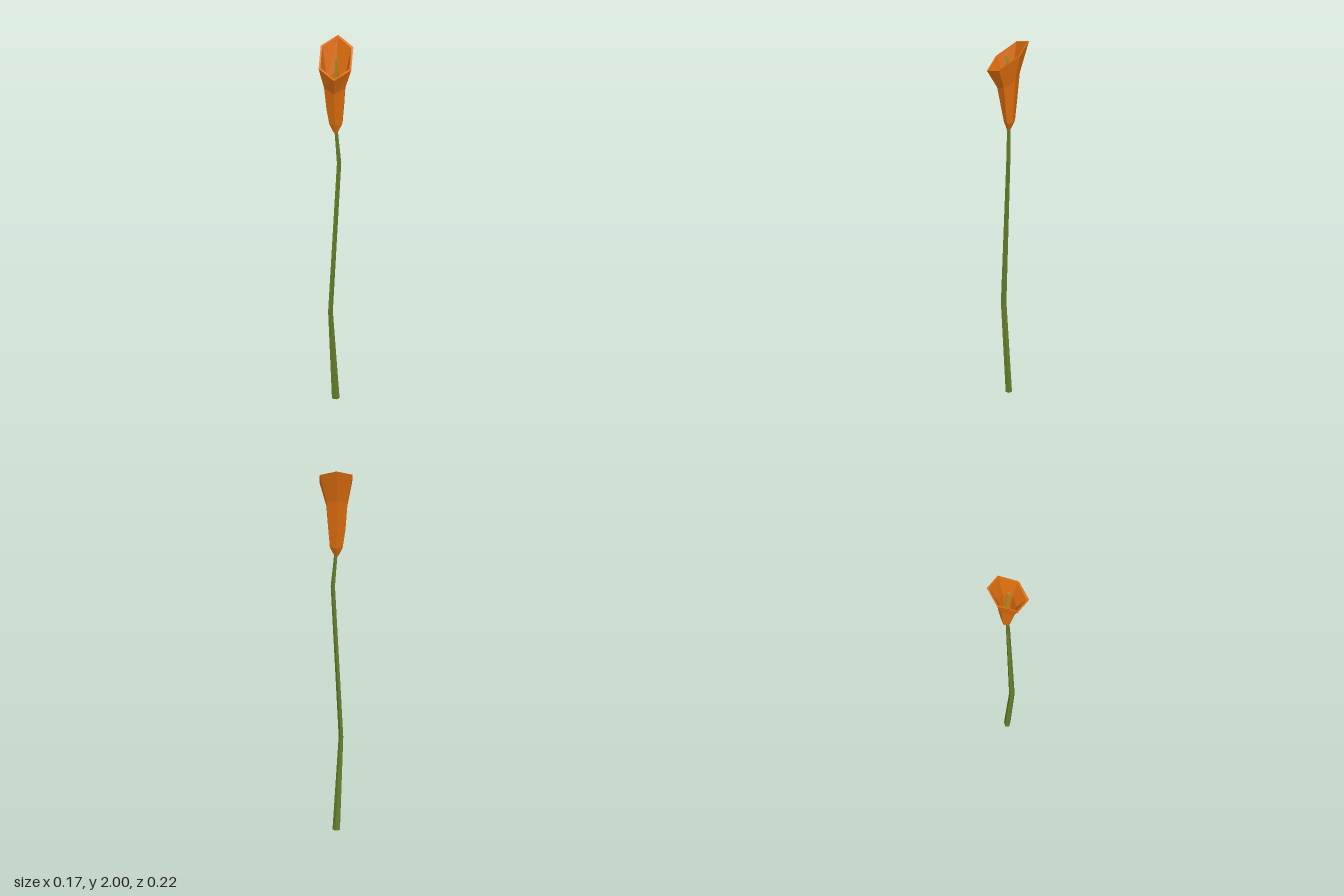
import * as THREE from 'three';

// Skin a stack of rings; each ring is [y, centreX, centreZ, radiusX, radiusZ, tilt].
// A positive tilt lifts the back of the ring and lowers its front.
function skin(rings, sides, phase = 0) {
  const pos = [];
  const idx = [];
  for (const [y, cx, cz, rx, rz, tilt = 0] of rings) {
    for (let i = 0; i < sides; i++) {
      const a = phase + (i / sides) * Math.PI * 2;
      pos.push(cx + rx * Math.sin(a), y - tilt * Math.cos(a), cz + rz * Math.cos(a));
    }
  }
  for (let r = 0; r < rings.length - 1; r++) {
    for (let i = 0; i < sides; i++) {
      const a = r * sides + i;
      const b = r * sides + (i + 1) % sides;
      idx.push(a, b, b + sides, a, b + sides, a + sides);
    }
  }
  // Close both ends
  const last = (rings.length - 1) * sides;
  for (let i = 1; i < sides - 1; i++) {
    idx.push(0, i + 1, i, last, last + i, last + i + 1);
  }
  const geo = new THREE.BufferGeometry();
  geo.setAttribute('position', new THREE.Float32BufferAttribute(pos, 3));
  geo.setIndex(idx);
  const flat = geo.toNonIndexed();
  flat.computeVertexNormals();
  return flat;
}

function part(name, geometry, color) {
  const material = new THREE.MeshStandardMaterial({ color, flatShading: true });
  const mesh = new THREE.Mesh(geometry, material);
  mesh.name = name;
  return mesh;
}

export function createModel() {
  const group = new THREE.Group();
  group.name = 'flower';

  // Gently bent, tapering stem
  group.add(part('stem', skin([
    [0, -0.005, -0.004, 0.021, 0.017],
    [0.5, -0.029, 0.02, 0.013, 0.015],
    [1.33, 0.013, 0, 0.012, 0.011],
    [1.52, -0.003, -0.004, 0.009, 0.009],
  ], 5, 0.3), 0x647d2a));

  // Six-sided trumpet: up the outside, over the rim, down the inside
  group.add(part('petalTrumpet', skin([
    [1.5, -0.004, -0.004, 0.012, 0.011],
    [1.55, -0.003, -0.007, 0.038, 0.029],
    [1.64, -0.006, -0.005, 0.05, 0.041, 0.01],
    [1.78, -0.007, -0.003, 0.062, 0.058, 0.04],
    [1.92, -0.002, 0, 0.097, 0.108, 0.08],
    [1.92, -0.003, -0.001, 0.086, 0.097, 0.075],
    [1.78, -0.006, -0.003, 0.053, 0.049, 0.035],
    [1.64, -0.005, -0.005, 0.041, 0.032, 0.01],
    [1.54, -0.003, -0.007, 0.008, 0.008],
  ], 6), 0xd96c0e));

  // Slender spike in the middle of the trumpet
  group.add(part('spike', skin([
    [1.54, -0.004, -0.008, 0.009, 0.009],
    [1.75, -0.005, -0.006, 0.01, 0.01],
    [1.92, 0.001, 0.005, 0.008, 0.01],
  ], 4, Math.PI / 4), 0xa08c22));

  return group;
}
